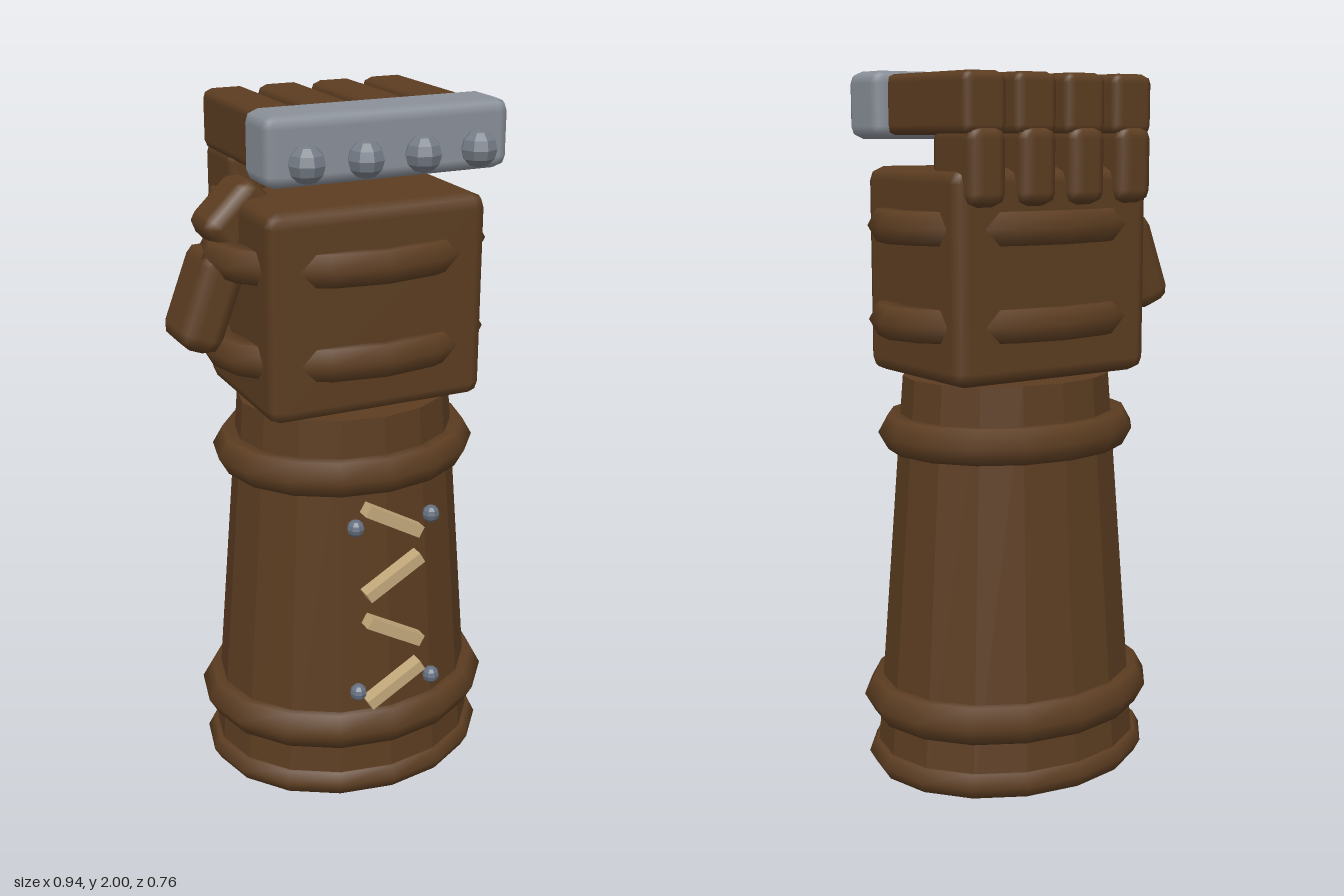
import * as THREE from 'three';
import { RoundedBoxGeometry } from 'three/addons/geometries/RoundedBoxGeometry.js';

export function createModel() {
  const model = new THREE.Group();
  model.name = 'armouredGauntlet';
  const mat = (name, color) => {
    const m = new THREE.MeshStandardMaterial({ color });
    m.name = name;
    return m;
  };
  const leather = mat('brown leather', 0x5c3d21);
  const steel = mat('steel', 0x8a9099);
  const studSteel = mat('stud steel', 0x757c86);
  const rivetSteel = mat('rivet steel', 0x667080);
  const cord = mat('tan cord', 0xc4a97c);

  const CX = 0.024; // axis of the arm
  const add = (name, geometry, material, x, y, z, rotZ = 0) => {
    const mesh = new THREE.Mesh(geometry, material);
    mesh.name = name;
    mesh.position.set(x, y, z);
    mesh.rotation.z = rotZ;
    model.add(mesh);
    return mesh;
  };
  const flat = (g) => {
    const f = g.toNonIndexed();
    f.computeVertexNormals();
    return f;
  };
  // box with a single chamfer along each edge
  const block = (w, h, d, bevel) => new RoundedBoxGeometry(w, h, d, 1, bevel);
  // elliptical ring lying flat, given by its outer radii
  const ring = (name, y, outerX, outerZ, tube) => {
    const g = new THREE.TorusGeometry(outerX - tube, tube, 6, 16).rotateX(Math.PI / 2);
    g.scale(1, 1, outerZ / outerX);
    add(name, g, leather, CX, y, 0);
  };

  // Tapered oval cuff with padded rings
  const cuff = new THREE.CylinderGeometry(0.313, 0.405, 1.15, 16).scale(1, 1, 0.86);
  add('cuff', flat(cuff), leather, CX, 0.58, 0);
  ring('cuffHem', 0.037, 0.43, 0.367, 0.04);
  ring('lowerCuffRing', 0.215, 0.442, 0.378, 0.062);
  ring('upperCuffRing', 0.995, 0.388, 0.332, 0.058);

  // Hand with two straps that sink into its corners
  add('hand', block(0.645, 0.58, 0.485, 0.04), leather, CX, 1.45, 0);
  ring('lowerHandStrap', 1.322, 0.42, 0.302, 0.052);
  ring('upperHandStrap', 1.582, 0.42, 0.302, 0.052);

  // Four bent fingers, each with a knuckle stud
  for (let i = 0; i < 4; i++) {
    const x = -0.222 + i * 0.163;
    add('lowerFinger', block(0.115, 0.21, 0.215, 0.035), leather, x, 1.745, -0.175);
    add('upperFinger', block(0.134, 0.165, 0.46, 0.026), leather, x, 1.908, -0.035);
    add('knuckleStud', flat(new THREE.SphereGeometry(0.05, 8, 6)), studSteel, x, 1.88, 0.31);
  }
  add('knucklePlate', block(0.695, 0.185, 0.17, 0.034), steel, CX, 1.9075, 0.21);

  // Two-part thumb on the right
  add('thumbBase', block(0.13, 0.28, 0.205, 0.045), leather, -0.377, 1.46, -0.043, -0.36);
  add('thumbTip', block(0.13, 0.2, 0.17, 0.04), leather, -0.285, 1.685, -0.055, -0.8);

  // Zigzag lacing down the front of the cuff
  for (let i = 0; i < 4; i++) {
    add('lace', new THREE.BoxGeometry(0.192, 0.034, 0.04), cord,
      CX, 0.868 - i * 0.17, 0.326 + i * 0.008, i % 2 ? 0.52 : -0.52);
  }

  // Rivets at the corners of the lacing
  for (const [y, z] of [[0.868, 0.333], [0.36, 0.357]]) {
    for (const side of [-1, 1]) {
      add('laceRivet', flat(new THREE.SphereGeometry(0.025, 8, 6)), rivetSteel, CX + side * 0.117, y, z);
    }
  }
  return model;
}
